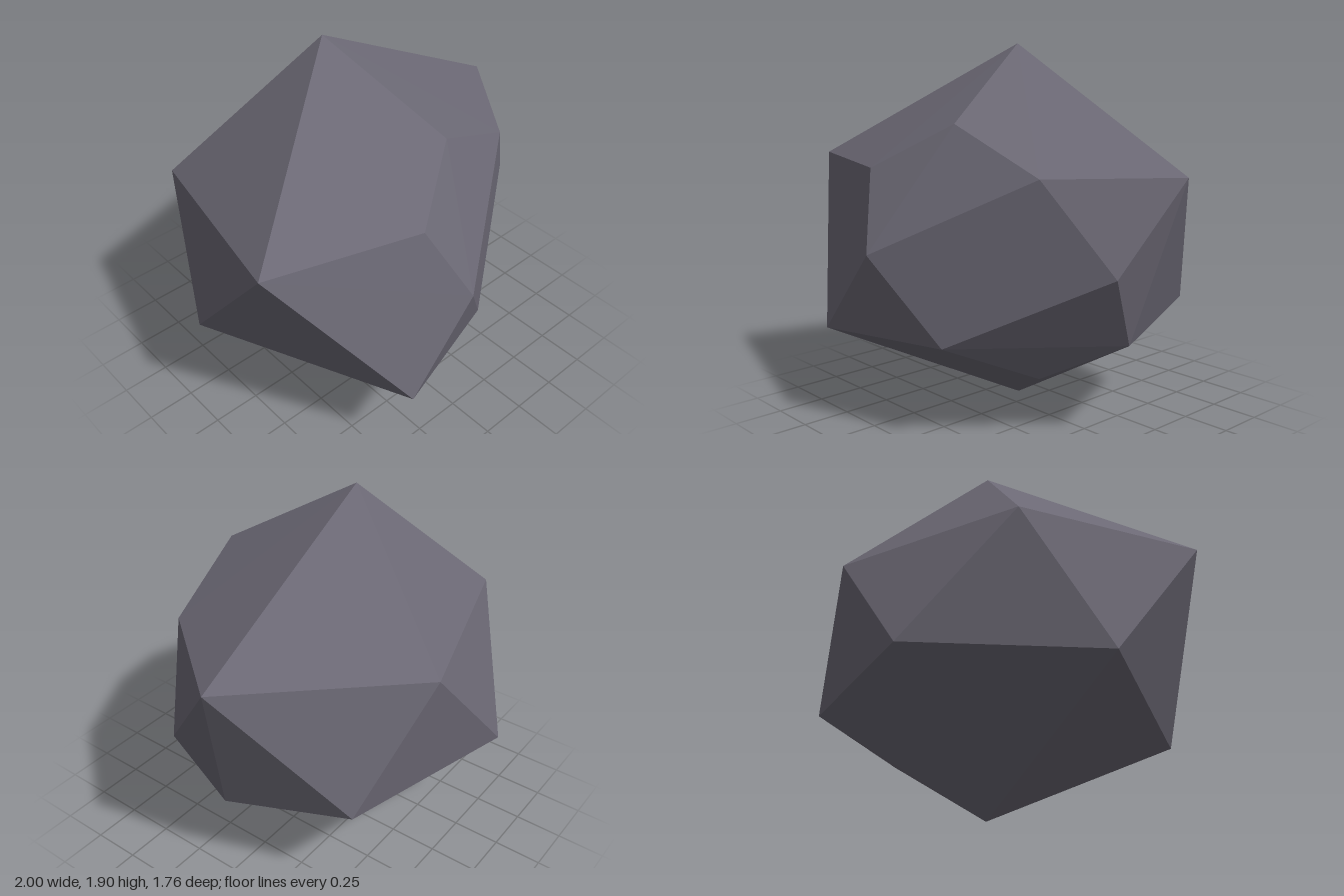
import * as THREE from 'three';
import { ConvexGeometry } from 'three/addons/geometries/ConvexGeometry.js';

export function createModel() {
  const model = new THREE.Group();
  model.name = 'rock';

  const stone = new THREE.MeshStandardMaterial({ color: 0x6b6874 });
  stone.name = 'stone grey';

  // Corners of the faceted boulder, as [x, y, z]
  const corners = [
    // peak and foot
    [-0.12, 1.9, -0.12], [-0.11, 0, -0.12],
    // upper ring
    [-1, 1.31, 0.49], [1, 1.31, -0.12], [0.18, 1.22, -0.81], [-0.77, 1.23, -0.52],
    // chipped front facet
    [0.1, 1.53, 0.49], [-0.26, 1.31, 0.72], [0.59, 1.31, 0.41], [-0.08, 0.93, 0.88],
    // chipped right side facet
    [0.88, 0.87, 0.21], [0.22, 0.5, 0.68], [0.42, 0.3, 0.24], [0.78, 0.5, 0],
    // lower ring
    [-0.45, 0.5, 0.88], [-0.96, 0.59, -0.12], [-0.37, 0.59, -0.88], [0.59, 0.59, -0.63],
  ].map((p) => new THREE.Vector3(...p));

  // The hull keeps one flat normal per facet
  const boulder = new THREE.Mesh(new ConvexGeometry(corners), stone);
  boulder.name = 'boulder';
  model.add(boulder);

  return model;
}
